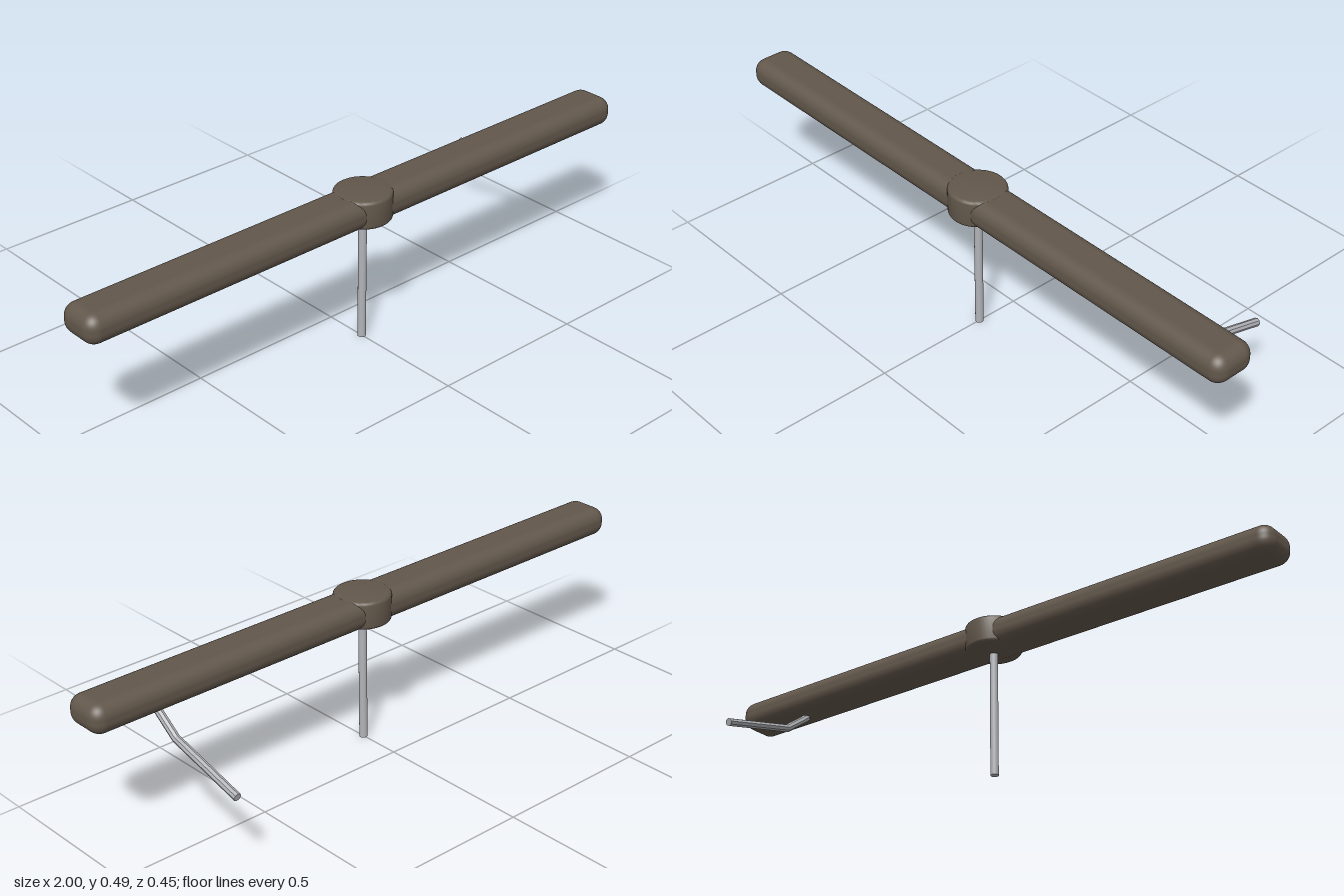
import * as THREE from 'three';
import { toCreasedNormals } from 'three/addons/utils/BufferGeometryUtils.js';
import { RoundedBoxGeometry } from 'three/addons/geometries/RoundedBoxGeometry.js';

const BAR_Z = 0.136;

// Faceted rod through three [y, z] points in a plane of constant x, mitred at the bend
function bentRod(points, radius, sides) {
  const [a, b, c] = points.map(([y, z]) => new THREE.Vector2(y, z));
  const upper = a.clone().sub(b).normalize();
  const lower = b.clone().sub(c).normalize();
  const mid = upper.clone().add(lower).normalize();
  const mitre = 1 / mid.dot(upper);
  const rings = { '1': [a, upper, 1], '0': [b, mid, mitre], '-1': [c, lower, 1] };

  const geo = new THREE.CylinderGeometry(radius, radius, 2, sides, 2);
  const pos = geo.attributes.position;
  for (let i = 0; i < pos.count; i++) {
    const [p, d, s] = rings[String(Math.round(pos.getY(i)))];
    const side = pos.getZ(i) * s;
    pos.setXYZ(i, pos.getX(i), p.x - d.y * side, p.y + d.x * side);
  }
  const flat = geo.toNonIndexed();
  flat.computeVertexNormals();
  return flat;
}

// Solid disc with rounded rims, standing from y0 to y1
function roundedDisc(radius, y0, y1, bevel) {
  const profile = [new THREE.Vector2(0, y0)];
  for (const [cy, start] of [[y0 + bevel, -Math.PI / 2], [y1 - bevel, 0]]) {
    for (let i = 0; i <= 4; i++) {
      const t = start + (i / 4) * Math.PI / 2;
      profile.push(new THREE.Vector2(radius - bevel + bevel * Math.cos(t), cy + bevel * Math.sin(t)));
    }
  }
  profile.push(new THREE.Vector2(0, y1));
  return toCreasedNormals(new THREE.LatheGeometry(profile, 48), 0.5);
}

export function createModel() {
  const group = new THREE.Group();
  const darkBrown = new THREE.MeshStandardMaterial({ color: 0x62574b });
  darkBrown.name = 'darkBrown';
  const metal = new THREE.MeshStandardMaterial({ color: 0xb2b3b8 });
  metal.name = 'metal';

  function add(name, geometry, material, x, y, z) {
    const mesh = new THREE.Mesh(geometry, material);
    mesh.name = name;
    mesh.position.set(x, y, z);
    group.add(mesh);
  }

  // Long padded crossbar with a round hub at its middle
  add('crossbar', new RoundedBoxGeometry(2, 0.092, 0.142, 6, 0.04), darkBrown, 0, 0.442, BAR_Z);
  add('hub', roundedDisc(0.087, 0.401, 0.489, 0.01), darkBrown, 0, 0, BAR_Z);

  // Straight post under the hub
  add('post', new THREE.CylinderGeometry(0.0125, 0.0125, 0.42, 24), metal, 0, 0.21, BAR_Z);

  // Bent lever reaching back from the left arm
  const path = [[0.394, 0.133], [0.326, 0.042], [0.257, -0.219]];
  add('lever', bentRod(path, 0.0125, 8), metal, 0.762, 0, 0);

  return group;
}
